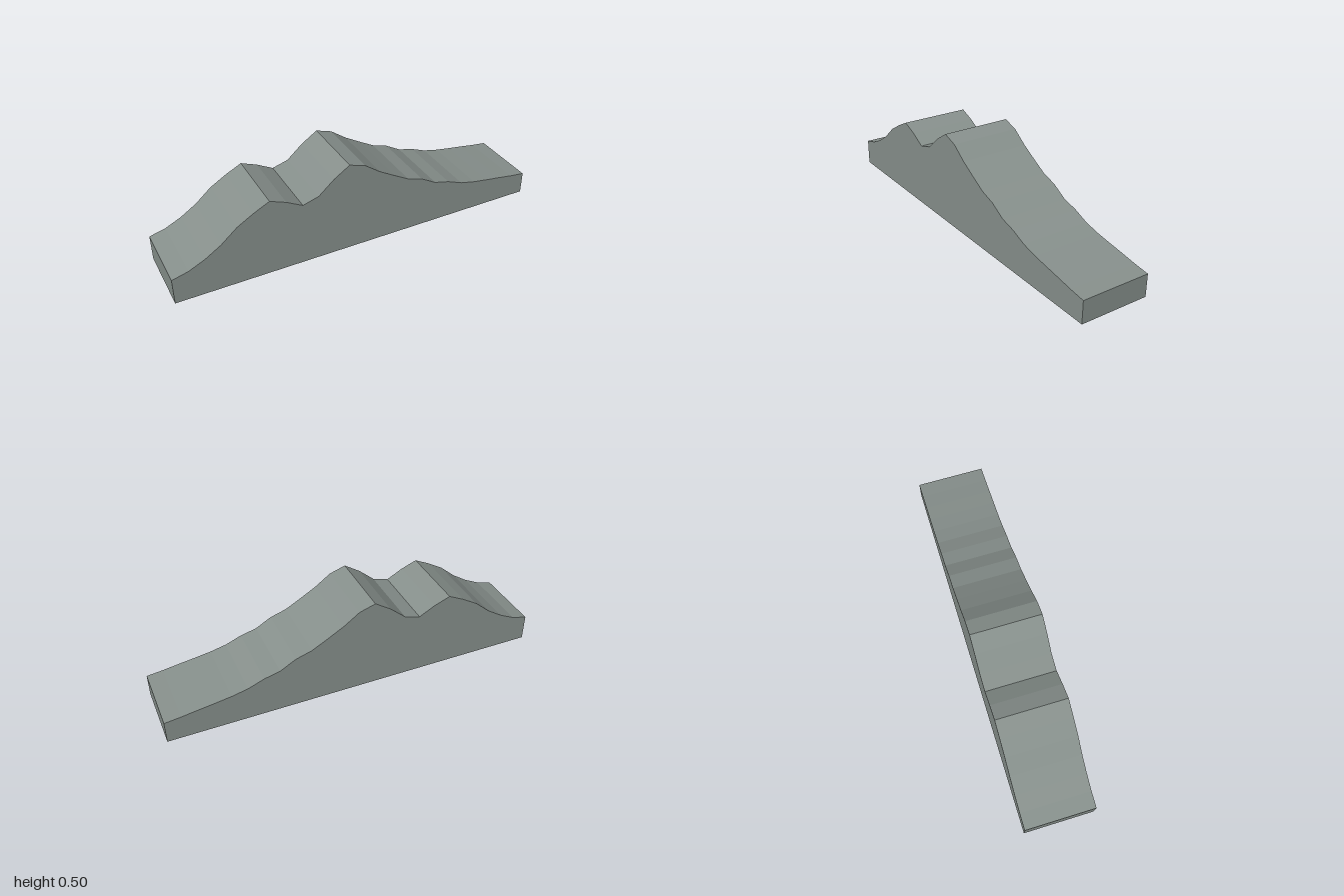
import * as THREE from 'three';

// Ridge heights at even steps from x = -1 to x = 1
const HEIGHTS = [
  0.14, 0.162, 0.202, 0.256, 0.328, 0.378, 0.42, 0.387, 0.342, 0.367, 0.44, 0.495, 0.468,
  0.408, 0.36, 0.314, 0.288, 0.241, 0.22, 0.187, 0.168, 0.155, 0.143, 0.13, 0.12,
];
const DEPTH = 0.368;

export function createModel() {
  const group = new THREE.Group();
  group.name = 'mountainRidge';

  // Silhouette: flat base, vertical ends, two peaks and a long slope
  const outline = new THREE.Shape();
  outline.moveTo(-1, 0);
  outline.lineTo(1, 0);
  for (let i = HEIGHTS.length - 1; i >= 0; i--) {
    outline.lineTo(-1 + (2 * i) / (HEIGHTS.length - 1), HEIGHTS[i]);
  }
  outline.closePath();

  // Extrude along z and centre the slab
  const geometry = new THREE.ExtrudeGeometry(outline, { depth: DEPTH, bevelEnabled: false });
  geometry.translate(0, 0, -DEPTH / 2);

  const material = new THREE.MeshStandardMaterial({ color: 0x87908c, flatShading: true });
  const ridge = new THREE.Mesh(geometry, material);
  ridge.name = 'ridge';
  group.add(ridge);
  return group;
}
